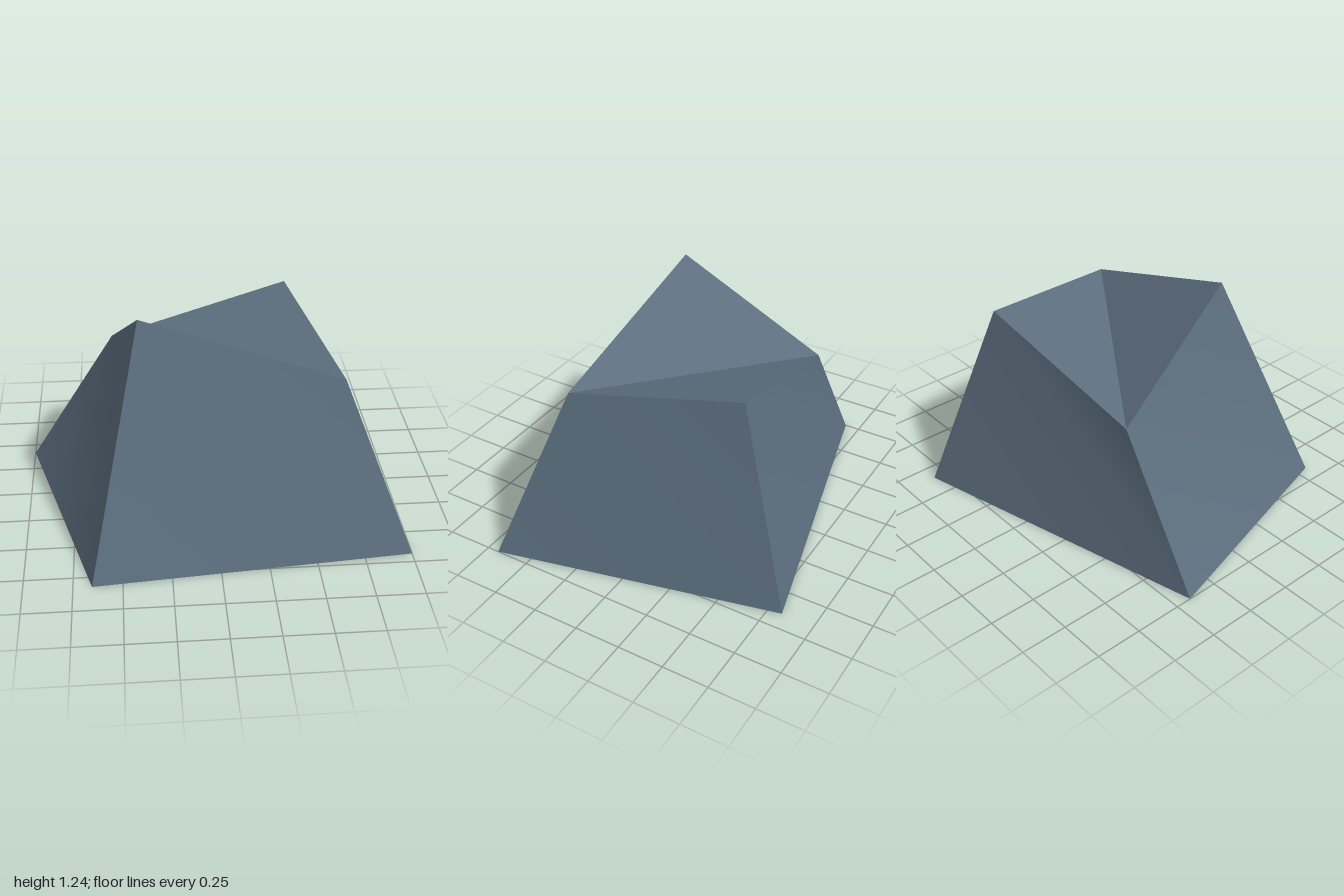
import * as THREE from 'three';

// Corners of the block: bottom ring and top ring, both counter-clockwise seen from above
const bottom = [[-1, 0, -0.415], [-0.655, 0, 0.825], [1, 0, 0.685], [0.65, 0, -0.825]];
const top = [[-0.52, 0.76, -0.415], [-0.38, 1.24, 0.345], [0.65, 0.9, 0.41], [0.45, 1.03, -0.485]];

// One face from corners and triangle order, smooth within itself, sharp at its border
function face(name, corners, index, material) {
  const geometry = new THREE.BufferGeometry();
  geometry.setAttribute('position', new THREE.Float32BufferAttribute(corners.flat(), 3));
  geometry.setIndex(index);
  geometry.computeVertexNormals();
  const mesh = new THREE.Mesh(geometry, material);
  mesh.name = name;
  return mesh;
}

export function createModel() {
  const group = new THREE.Group();
  group.name = 'rock';
  const slate = new THREE.MeshStandardMaterial({ color: 0x5c6e7e });
  slate.name = 'slate';

  // Four slightly twisted sides
  ['rightSide', 'frontSide', 'leftSide', 'backSide'].forEach((name, i) => {
    const j = (i + 1) % 4;
    group.add(face(name, [bottom[i], bottom[j], top[j], top[i]], [0, 1, 3, 1, 2, 3], slate));
  });

  // Top folded into a valley along one diagonal
  group.add(face('topFront', [top[0], top[1], top[2]], [0, 1, 2], slate));
  group.add(face('topBack', [top[0], top[2], top[3]], [0, 1, 2], slate));

  // Flat underside
  group.add(face('underside', bottom, [0, 3, 2, 0, 2, 1], slate));
  return group;
}
